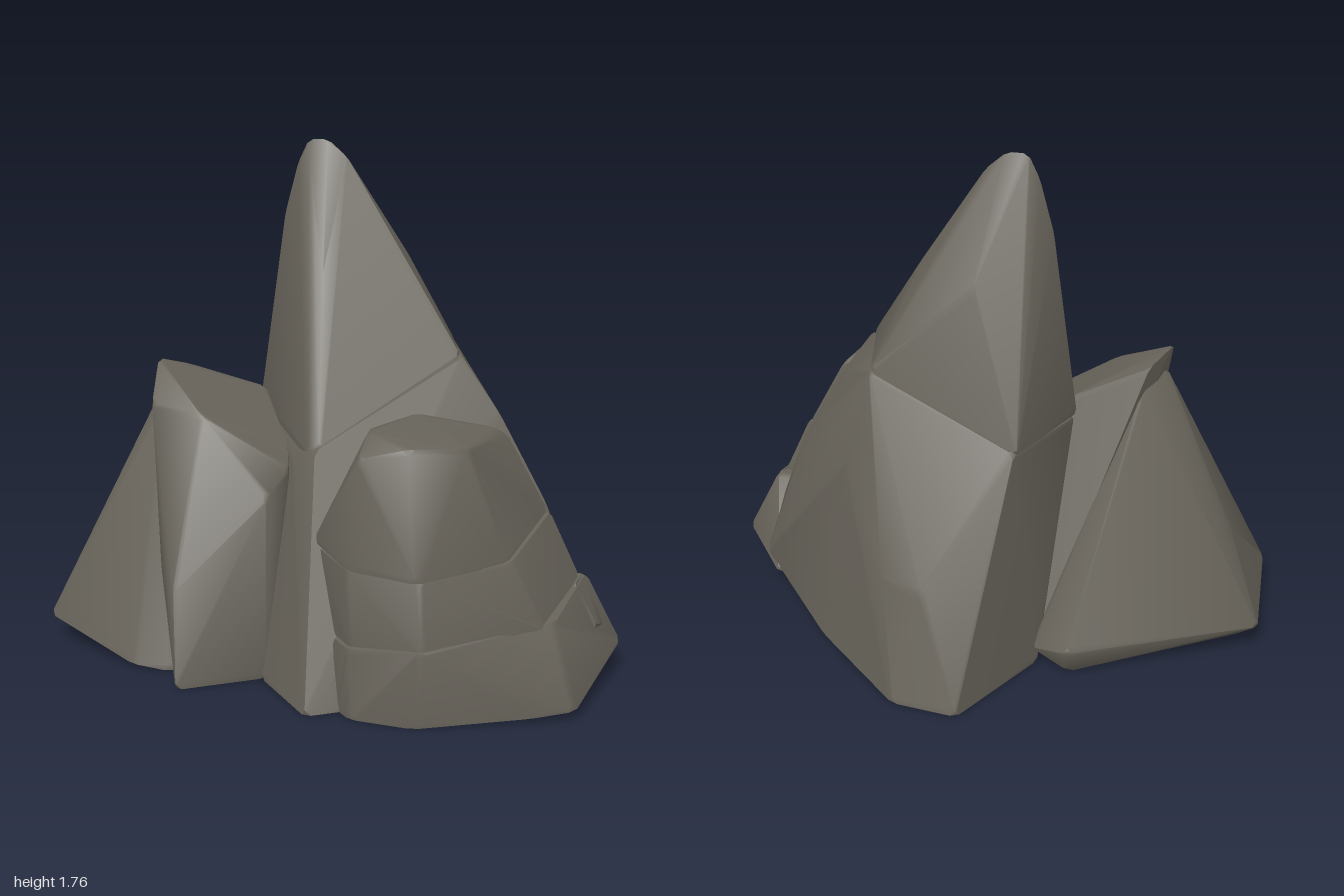
import * as THREE from 'three';
import { ConvexGeometry } from 'three/addons/geometries/ConvexGeometry.js';
import { toCreasedNormals } from 'three/addons/utils/BufferGeometryUtils.js';

const stone = new THREE.MeshStandardMaterial({ color: 0x67635a });
stone.name = 'stone';

// A rock is the hull of its corners, with every corner cut off a little and soft edges.
function rock(name, corners, cut = 0.04) {
  const pos = new ConvexGeometry(corners.map((c) => new THREE.Vector3(...c))).getAttribute('position');
  const points = [];
  for (let i = 0; i < pos.count; i += 3) {
    for (let k = 0; k < 3; k++) {
      const a = new THREE.Vector3().fromBufferAttribute(pos, i + k);
      const b = new THREE.Vector3().fromBufferAttribute(pos, i + ((k + 1) % 3));
      // Cut by a short fixed length so long edges keep their reach
      points.push(a.clone().lerp(b, Math.min(0.3, (cut * 0.5) / a.distanceTo(b))));
    }
  }
  const mesh = new THREE.Mesh(toCreasedNormals(new ConvexGeometry(points), 0.75), stone);
  mesh.name = name;
  return mesh;
}

export function createModel() {
  const group = new THREE.Group();
  group.name = 'rockFormation';

  group.add(
    // Pointed summit
    rock('summitSpire', [
      [-0.16, 1.76, -0.13], [-0.09, 1.76, -0.13], [-0.2, 1.68, -0.13], [-0.02, 1.7, -0.13],
      [-0.25, 1.5, -0.13], [0.06, 1.54, -0.16], [-0.09, 1.46, 0.02], [-0.08, 1.55, -0.2],
      [-0.28, 1.2, -0.1], [-0.04, 1.32, 0.09], [0.2, 1.37, -0.14], [-0.02, 1.34, -0.28],
      [0.42, 1.04, -0.02], [0.31, 1.05, -0.37], [-0.21, 0.83, -0.42],
      [-0.33, 0.84, -0.08], [-0.14, 0.74, 0.18], [0.03, 0.77, 0.36], [-0.02, 0.75, 0.35],
    ], 0.03),

    // Broad lower mountain
    rock('mountainBody', [
      [0.43, 1.03, -0.02], [0.31, 1.04, -0.375], [-0.2, 0.83, -0.42], [-0.32, 0.82, -0.08],
      [-0.08, 0.72, 0.3], [0.02, 0.76, 0.37], [0.57, 0.84, 0.0], [0.74, 0.55, 0.03],
      [0.87, 0.22, 0.04], [0.05, 0.38, -0.65], [0.2, 0.42, -0.62], [0.38, 0.72, -0.45],
      [-0.1, 0, -0.76], [0.13, 0, -0.75], [0.49, 0.02, -0.47], [0.86, 0.1, -0.12],
      [0.82, 0, 0.2], [0.2, 0, 0.7], [0.11, 0, 0.76], [-0.12, 0, 0.52],
      [-0.28, 0, -0.38],
    ]),

    // Low rock on the right-hand side
    rock('sideRock', [
      [-0.59, 0.92, 0.2], [-0.53, 0.9, 0.07], [-0.57, 0.85, 0.26], [-0.5, 0.84, 0.1],
      [-0.87, 0.4, 0.05], [-1.01, 0.1, -0.1], [-0.97, 0.09, 0.39], [-0.93, 0.02, 0.3],
      [-0.93, 0.02, -0.05], [-0.58, 0.01, 0.55], [-0.45, 0, 0.55],
      [-0.4, 0.1, -0.45], [-0.4, 0, -0.41], [-0.26, 0.06, -0.39], [-0.2, 0, 0.3],
    ]),

    // Upright column in front of the side rock
    rock('columnRock', [
      [-0.61, 1.01, 0.2], [-0.55, 0.97, 0.07], [-0.3, 0.88, -0.04], [-0.58, 0.88, 0.33],
      [-0.38, 0.86, 0.38], [-0.12, 0.74, 0.24], [-0.09, 0.68, 0.32], [-0.13, 0.6, 0.42],
      [-0.48, 0.35, 0.51], [-0.4, 0.3, 0.6], [-0.36, 0, 0.69], [-0.32, 0, 0.66],
      [-0.11, 0, 0.51], [-0.12, 0.3, 0.46], [-0.4, 0, 0.3], [-0.1, 0, 0.1],
      [-0.28, 0.1, -0.33],
    ]),

    // Three stacked boulders on the front left
    rock('upperBoulder', [
      [0.24, 0.87, 0.5], [0.32, 0.87, 0.19], [0.58, 0.84, 0.18], [0.56, 0.84, 0.5],
      [0.4, 0.85, 0.6], [0.2, 0.84, 0.32], [0.24, 0.81, 0.61], [0.62, 0.81, 0.14],
      [0.35, 0.83, 0.14], [0.05, 0.49, 0.48], [0.22, 0.46, 0.66], [0.46, 0.455, 0.71],
      [0.7, 0.48, 0.5], [0.76, 0.55, 0.12], [0.3, 0.55, 0.12],
    ]),
    rock('middleBoulder', [
      [0.07, 0.47, 0.49], [0.22, 0.46, 0.66], [0.46, 0.455, 0.69], [0.71, 0.485, 0.5],
      [0.77, 0.55, 0.13], [0.3, 0.54, 0.12],
      [0.16, 0.22, 0.6], [0.24, 0.22, 0.7], [0.48, 0.24, 0.73], [0.82, 0.28, 0.51],
      [0.87, 0.33, 0.11], [0.3, 0.3, 0.11],
    ], 0.03),
    rock('lowerBoulder', [
      [0.16, 0.22, 0.62], [0.24, 0.225, 0.72], [0.48, 0.245, 0.74], [0.85, 0.295, 0.48],
      [0.89, 0.33, 0.08], [0.6, 0.3, 0.1], [0.93, 0.17, 0.04],
      [0.19, 0, 0.68], [0.25, 0, 0.74], [0.46, 0, 0.75], [0.8, 0.015, 0.6],
      [0.93, 0.03, 0.54], [1.01, 0.09, 0.05], [0.78, 0.07, -0.21], [0.5, 0, 0.0],
    ]),

    // Small chip on the end of the lower boulder
    rock('stoneChip', [
      [0.87, 0.33, 0.2], [0.88, 0.33, 0.08], [0.95, 0.2, 0.21], [0.96, 0.18, 0.14],
      [0.93, 0.17, 0.21], [0.94, 0.17, 0.13], [0.84, 0.2, 0.2], [0.84, 0.2, 0.1],
    ], 0.02),
  );
  return group;
}
